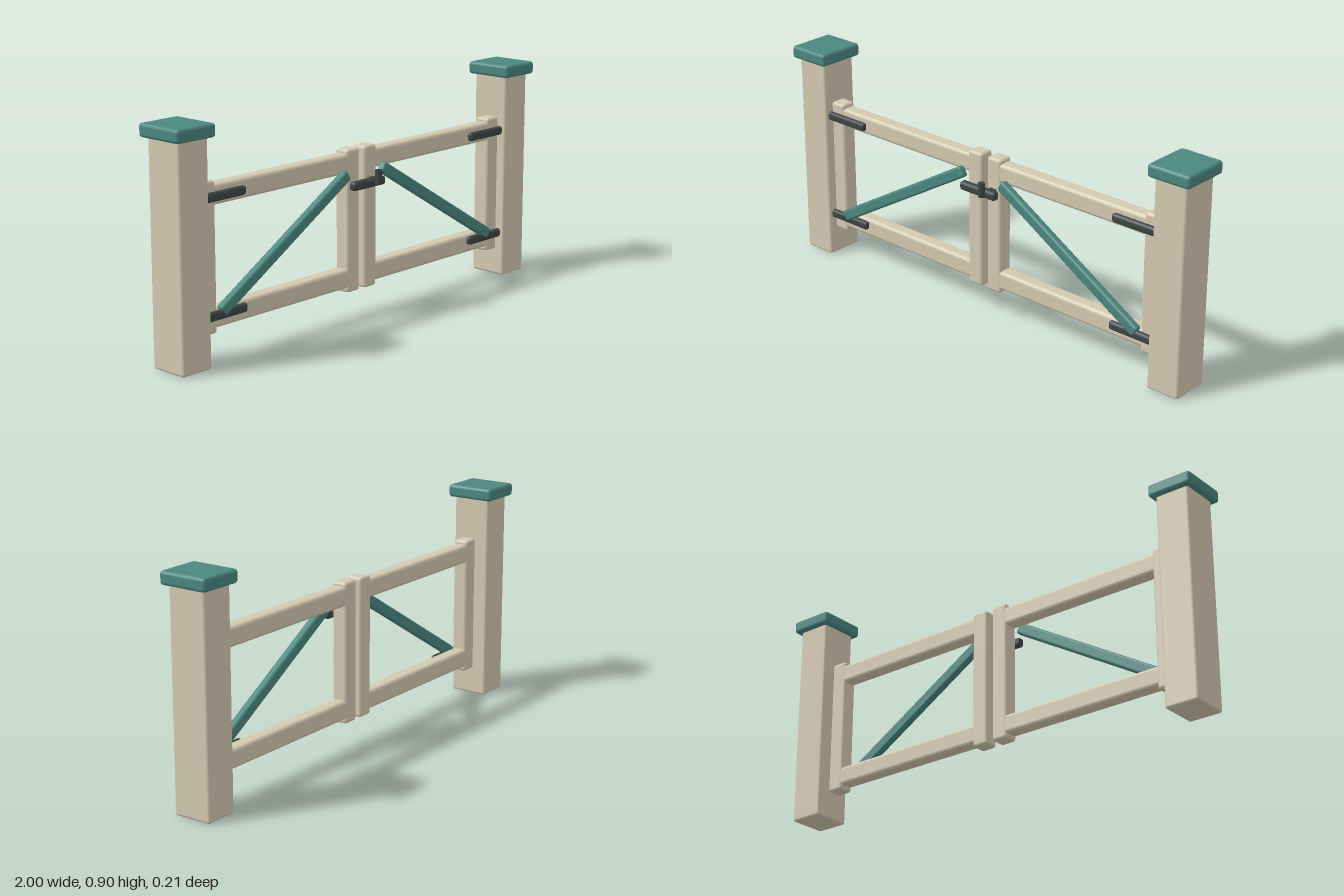
import * as THREE from 'three';
import { RoundedBoxGeometry } from 'three/addons/geometries/RoundedBoxGeometry.js';

const wood = new THREE.MeshStandardMaterial({ color: 0xd3c9b0 });
const teal = new THREE.MeshStandardMaterial({ color: 0x4b8780 });
const iron = new THREE.MeshStandardMaterial({ color: 0x3c4444 });

// Rounded bar given by its extents on each axis
function bar(name, material, [x0, x1], [y0, y1], [z0, z1], radius) {
  const mesh = new THREE.Mesh(new RoundedBoxGeometry(x1 - x0, y1 - y0, z1 - z0, 2, radius), material);
  mesh.position.set((x0 + x1) / 2, (y0 + y1) / 2, (z0 + z1) / 2);
  mesh.name = name;
  return mesh;
}

// Orders a mirrored pair of x values
const span = (side, a, b) => (side > 0 ? [a, b] : [-b, -a]);

function createPost(side) {
  const post = new THREE.Group();
  post.name = side > 0 ? 'leftPost' : 'rightPost';
  post.add(
    bar('postShaft', wood, span(side, 0.837, 0.977), [0, 0.86], [-0.084, 0.076], 0.01),
    bar('postCap', teal, span(side, 0.816, 1), [0.848, 0.9], [-0.106, 0.098], 0.013)
  );
  return post;
}

function createGate(side) {
  const gate = new THREE.Group();
  gate.name = side > 0 ? 'leftGate' : 'rightGate';
  const stileZ = [-0.026, 0.039];
  const railZ = [-0.024, 0.037];

  // Frame
  gate.add(
    bar('hingeStile', wood, span(side, 0.772, 0.842), [0.112, 0.68], stileZ, 0.012),
    bar('meetingStile', wood, span(side, 0.0135, 0.083), [0.112, 0.68], stileZ, 0.012),
    bar('topRail', wood, span(side, 0.04, 0.83), [0.586, 0.664], railZ, 0.015),
    bar('bottomRail', wood, span(side, 0.04, 0.83), [0.13, 0.208], railZ, 0.015)
  );

  // Diagonal brace from the lower hinge to the top of the meeting stile
  const low = new THREE.Vector2(side * 0.763, 0.194);
  const high = new THREE.Vector2(side * 0.097, 0.59);
  const brace = new THREE.Mesh(new RoundedBoxGeometry(low.distanceTo(high), 0.046, 0.032, 2, 0.01), teal);
  brace.position.set((low.x + high.x) / 2, (low.y + high.y) / 2, 0.048);
  brace.rotation.z = Math.atan((high.y - low.y) / (high.x - low.x));
  brace.name = 'brace';
  gate.add(brace);

  // Hinge straps
  for (const y of [0.184, 0.623]) {
    gate.add(bar('hingeStrap', iron, span(side, 0.637, 0.85), [y - 0.018, y + 0.018], [0.036, 0.061], 0.012));
  }
  return gate;
}

function createLatch() {
  const latch = new THREE.Group();
  latch.name = 'latch';
  latch.add(bar('latchBar', iron, [-0.09, 0.09], [0.524, 0.56], [0.05, 0.083], 0.012));
  const pin = new THREE.Mesh(new THREE.CylinderGeometry(0.014, 0.014, 0.058, 12), iron);
  pin.position.set(0.035, 0.564, 0.092);
  pin.name = 'latchPin';
  latch.add(pin);
  // Keeper behind the bar
  latch.add(bar('latchKeeper', iron, [0.03, 0.066], [0.528, 0.556], [0.03, 0.06], 0.006));
  return latch;
}

export function createModel() {
  const model = new THREE.Group();
  model.name = 'doubleGate';
  for (const side of [-1, 1]) model.add(createPost(side), createGate(side));
  model.add(createLatch());
  return model;
}
